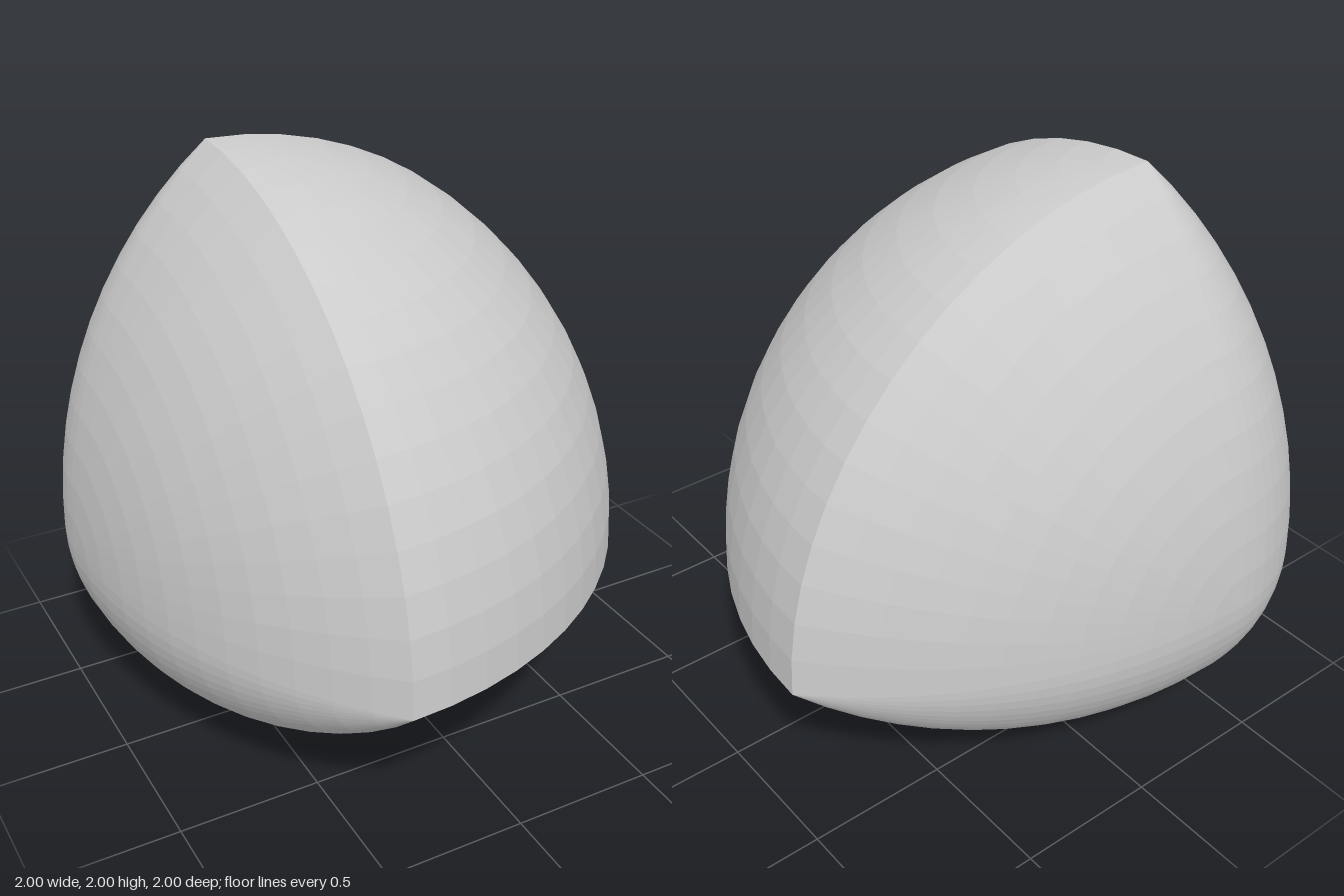
import * as THREE from 'three';

// Body of constant width 2, with three quarter-circle ridges around one centre.
const WIDTH = 2;
const R = Math.SQRT2;       // radius of the ridges
const AROUND = 16;          // steps along a quarter turn
const ALONG = 12;           // steps along a profile
const QUARTER = Math.PI / 2;

// Points (radius, height) of a profile swept through an eighth turn.
function profile(pointAt) {
  return Array.from({ length: ALONG + 1 }, (_, i) => {
    const [r, y] = pointAt((i / ALONG) * Math.PI / 4);
    return new THREE.Vector2(Math.max(0, r), y);
  });
}

export function createModel() {
  const group = new THREE.Group();
  group.name = 'constantWidthSolid';
  const material = new THREE.MeshStandardMaterial({ color: 0xcccccc, flatShading: true });

  function add(parent, name, geometry) {
    const mesh = new THREE.Mesh(geometry, material);
    mesh.name = name;
    parent.add(mesh);
  }

  // Large round face between the ridges, and the small round corner opposite it
  add(group, 'frontFace',
    new THREE.SphereGeometry(R, AROUND, AROUND, QUARTER, QUARTER, 0, QUARTER));
  add(group, 'backCorner',
    new THREE.SphereGeometry(WIDTH - R, AROUND, AROUND, 3 * QUARTER, QUARTER, QUARTER, QUARTER));

  // Spindle surface rising to a tip, and the spherical cap opposite that tip
  const spindle = profile(t => [WIDTH * Math.cos(t) - R, WIDTH * Math.sin(t)]);
  const cap = profile(t => [WIDTH * Math.sin(t), R - WIDTH * Math.cos(t)]);

  // The same pair repeats three times around the main diagonal
  const diagonal = new THREE.Vector3(1, 1, 1).normalize();
  for (let i = 0; i < 3; i++) {
    const side = new THREE.Group();
    side.name = `side${i + 1}`;
    side.setRotationFromAxisAngle(diagonal, (i * 2 * Math.PI) / 3);
    add(side, 'roundedBackEdge', new THREE.LatheGeometry(spindle, AROUND, Math.PI, QUARTER));
    add(side, 'sideFace', new THREE.LatheGeometry(cap, AROUND, 0, QUARTER));
    group.add(side);
  }

  group.position.set(1 - R, WIDTH - R, 1 - R);
  return group;
}
